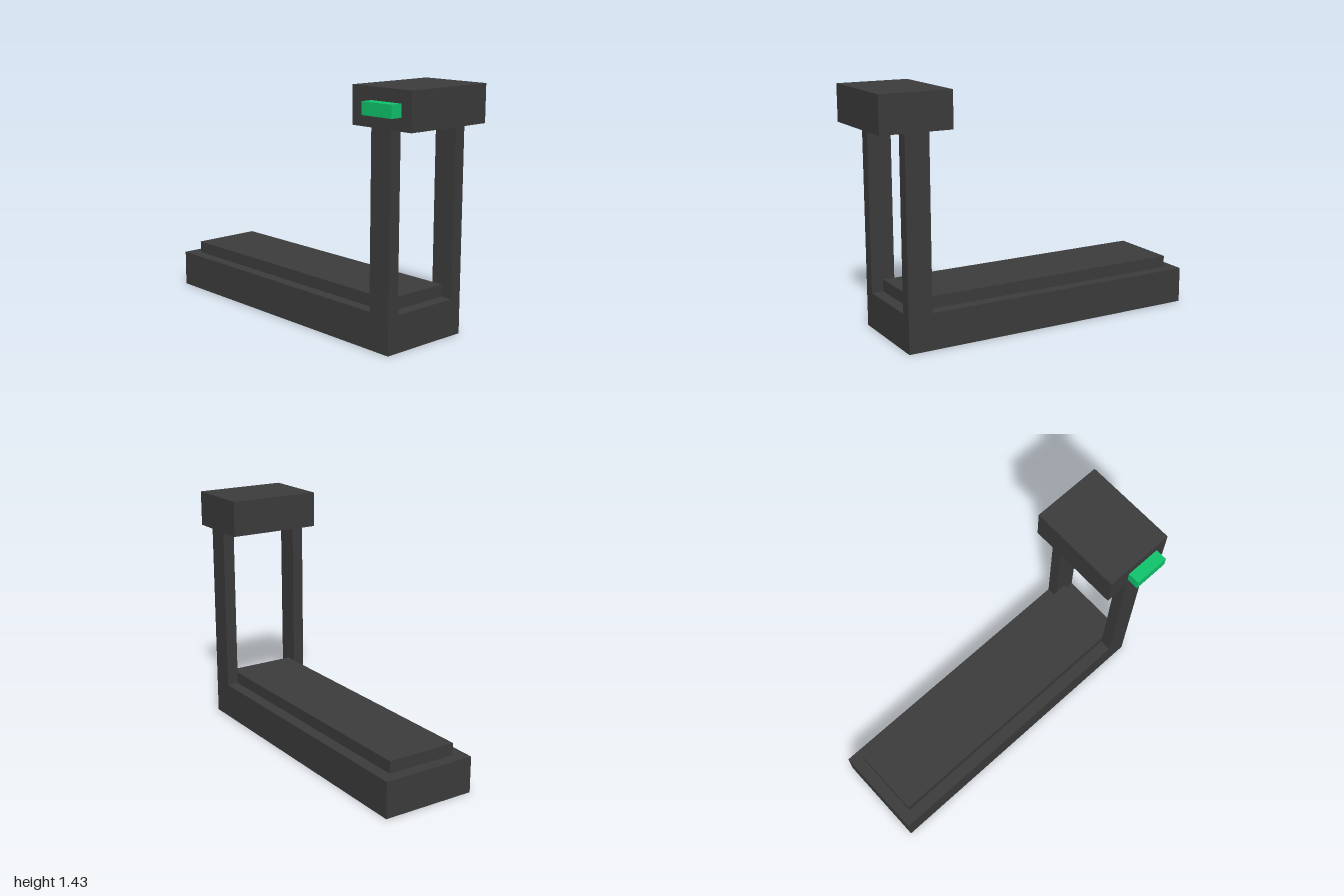
import * as THREE from 'three';

// Everything sits on a grid of 1/14 unit
const U = 1 / 14;

export function createModel() {
  const model = new THREE.Group();
  model.name = 'treadmill';

  const charcoal = new THREE.MeshStandardMaterial({ name: 'charcoal', color: 0x3c3c3c });
  const green = new THREE.MeshStandardMaterial({ name: 'green', color: 0x10c56c });

  // Box given by its two opposite corners, in grid steps
  function block(name, material, [x0, y0, z0], [x1, y1, z1]) {
    const geometry = new THREE.BoxGeometry((x1 - x0) * U, (y1 - y0) * U, (z1 - z0) * U);
    const mesh = new THREE.Mesh(geometry, material);
    mesh.name = name;
    mesh.position.set((x0 + x1) / 2 * U, (y0 + y1) / 2 * U, (z0 + z1) / 2 * U);
    model.add(mesh);
  }

  // Deck with the raised running belt
  block('base', charcoal, [-14, 0, -4.5], [12, 3, 3.5]);
  block('belt', charcoal, [-13, 3, -3.5], [11, 4, 2.5]);

  // Two uprights at the model's left end
  block('frontPost', charcoal, [10, 3, 2.5], [12, 17, 3.5]);
  block('backPost', charcoal, [10, 3, -4.5], [12, 17, -3.5]);

  // Console with the green button on its front
  block('console', charcoal, [8, 17, -4.5], [14, 20, 3.5]);
  block('button', green, [10, 18, 3.5], [13, 19, 4.5]);

  return model;
}
